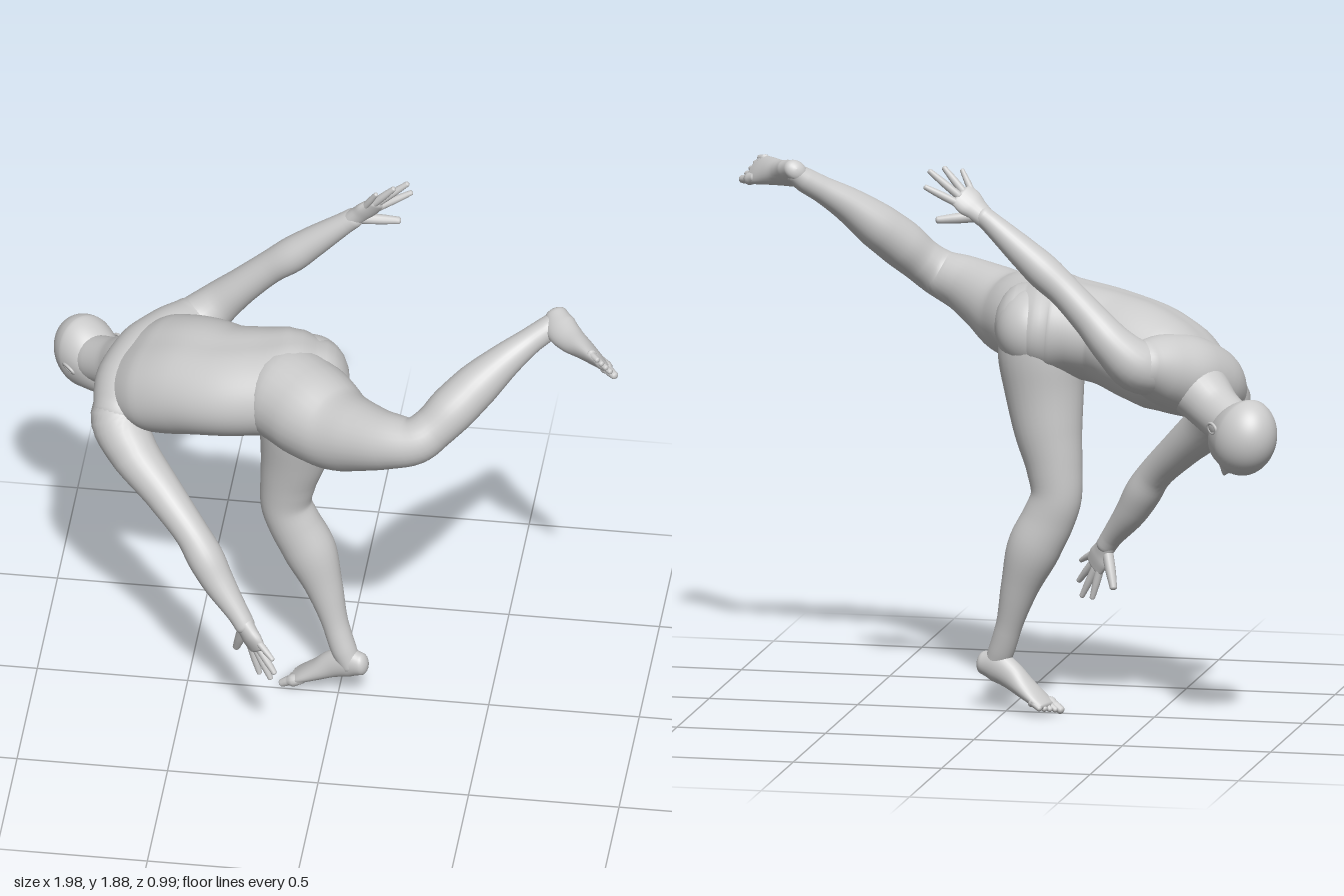
import * as THREE from 'three';
import { mergeVertices } from 'three/addons/utils/BufferGeometryUtils.js';

const V = (a) => new THREE.Vector3(a[0], a[1], a[2]);
const material = new THREE.MeshStandardMaterial({ color: 0xcccccc });
const bump = (d, w) => Math.exp(-(d * d) / (w * w));

function addMesh(parent, name, geometry) {
  const mesh = new THREE.Mesh(geometry, material);
  mesh.name = name;
  parent.add(mesh);
  return mesh;
}

// Smooth tube through rows of [x, y, z, halfWidth, halfDepth], with rounded ends.
// Half widths lie along the side vector, which may turn from side to sideEnd.
function loft(rows, side, { sideEnd = side, steps = 5, n = 28, cap = 0.7, shape = () => 1 } = {}) {
  const path = new THREE.CatmullRomCurve3(rows.map(V));
  const radii = new THREE.CatmullRomCurve3(rows.map((r) => V([r[3], r[4] ?? r[3], 0])));
  const rings = [];
  const ring = (t, k, push) => {
    const T = path.getTangent(t);
    const c = path.getPoint(t);
    const r = radii.getPoint(t);
    const S = V(side).lerp(V(sideEnd), t);
    S.addScaledVector(T, -S.dot(T)).normalize();
    c.addScaledVector(T, push * Math.min(r.x, r.y) * cap);
    rings.push({ c, S, B: T.clone().cross(S), a: r.x * k, b: r.y * k, t });
  };
  const arc = [0, 1, 2, 3, 4, 5].map((i) => (i / 5) * Math.PI / 2);
  for (const q of [...arc].reverse()) ring(0, Math.cos(q), -Math.sin(q));
  const total = (rows.length - 1) * steps;
  for (let i = 1; i < total; i++) ring(i / total, 1, 0);
  for (const q of arc) ring(1, Math.cos(q), Math.sin(q));
  const pos = [], index = [];
  rings.forEach((g, i) => {
    for (let j = 0; j < n; j++) {
      const q = (j / n) * Math.PI * 2, m = shape(g.t, q);
      const p = g.c.clone().addScaledVector(g.S, g.a * m * Math.cos(q)).addScaledVector(g.B, g.b * m * Math.sin(q));
      pos.push(p.x, p.y, p.z);
      if (i + 1 < rings.length) {
        const k = (j + 1) % n, A = i * n, D = A + n;
        index.push(A + j, A + k, D + k, A + j, D + k, D + j);
      }
    }
  });
  const geo = new THREE.BufferGeometry();
  geo.setAttribute('position', new THREE.Float32BufferAttribute(pos, 3));
  geo.setIndex(index);
  geo.computeVertexNormals();
  return geo;
}

// Group whose local y is up and z is forward; local x is then the left side.
function frame(name, origin, up, forward) {
  const Y = V(up).normalize(), Z = V(forward);
  Z.addScaledVector(Y, -Z.dot(Y)).normalize();
  const group = new THREE.Group();
  group.name = name;
  group.applyMatrix4(new THREE.Matrix4().makeBasis(Y.clone().cross(Z), Y, Z).setPosition(...origin));
  return group;
}

function makeHead() {
  const head = frame('head', [-0.885, 1.025, -0.385], [-0.62, -0.2, -0.75], [0.3, -0.93, 0.1]);
  // Skull and face: a sphere narrowed to the jaw, with sockets, nose, lips and chin
  let geo = new THREE.SphereGeometry(1, 72, 60);
  geo.deleteAttribute('uv');
  geo.deleteAttribute('normal');
  geo = mergeVertices(geo);
  const p = geo.attributes.position;
  for (let i = 0; i < p.count; i++) {
    const x = p.getX(i), y = p.getY(i), z = p.getZ(i);
    const t = Math.max(0, -y);
    const X = x * 0.105 * (1 - 0.2 * t);
    const Y = y * (y > 0 ? 0.12 : 0.165);
    let Z = z * 0.13 * (z < 0 ? 1 - 0.4 * t : 1) + 0.055 * t * t;
    if (z > 0) {
      Z += 0.03 * bump(X, 0.017) * (bump(Y + 0.062, 0.017) + 0.4 * bump(Y + 0.035, 0.025));
      Z -= 0.013 * bump(Math.abs(X) - 0.038, 0.02) * bump(Y + 0.028, 0.016);
      Z += 0.009 * bump(X, 0.03) * bump(Y + 0.098, 0.012) + 0.01 * bump(X, 0.03) * bump(Y + 0.138, 0.02);
    }
    p.setXYZ(i, X, Y, Z);
  }
  geo.computeVertexNormals();
  addMesh(head, 'skullAndFace', geo);
  // Ears: a rim and a shallow shell
  for (const s of [-1, 1]) {
    const ear = new THREE.Group();
    ear.name = s > 0 ? 'leftEar' : 'rightEar';
    ear.position.set(s * 0.101, -0.042, -0.004);
    ear.rotation.set(-0.15, s * (Math.PI / 2 - 0.3), 0);
    addMesh(ear, 'earRim', new THREE.TorusGeometry(0.017, 0.005, 10, 28)).scale.y = 1.5;
    addMesh(ear, 'earShell', new THREE.SphereGeometry(0.017, 20, 12)).scale.set(1, 1.45, 0.25);
    head.add(ear);
  }
  return head;
}

// Palm, four fingers from index to little, and thumb
function makeHand(name, wrist, tips, thumbTip) {
  const hand = new THREE.Group();
  hand.name = name;
  const W = V(wrist), T = tips.map(V);
  const mean = T.reduce((s, t) => s.add(t), new THREE.Vector3()).multiplyScalar(0.25);
  const side = T[0].clone().sub(T[3]).toArray();
  const at = (k) => W.clone().lerp(mean, k).toArray();
  addMesh(hand, 'palm', loft([
    [...at(-0.05), 0.035, 0.03], [...at(0.15), 0.041, 0.026],
    [...at(0.32), 0.05, 0.023], [...at(0.5), 0.048, 0.017]], side, { n: 20 }));
  const digit = (label, from, to, r) => {
    const mid = from.clone().lerp(to, 0.5);
    addMesh(hand, label, loft([[...from.toArray(), r], [...mid.toArray(), r * 0.92], [...to.toArray(), r * 0.65]], side, { n: 12 }));
  };
  T.forEach((t, i) => digit(['index', 'middle', 'ring', 'little'][i] + 'Finger', W.clone().lerp(t, 0.45), t, i === 3 ? 0.012 : 0.014));
  digit('thumb', W.clone().lerp(V(thumbTip), 0.15), V(thumbTip), 0.019);
  return hand;
}

// Foot with its origin under the heel; s = 1 for left, -1 for right
function makeFoot(name, heel, up, forward, s) {
  const foot = frame(name, heel, up, forward);
  addMesh(foot, 'footBody', loft([
    [0, 0.042, 0.022, 0.033, 0.04], [0, 0.054, 0.07, 0.038, 0.054], [0, 0.05, 0.13, 0.04, 0.047],
    [0, 0.036, 0.19, 0.048, 0.035], [0, 0.024, 0.25, 0.054, 0.024], [0, 0.018, 0.287, 0.05, 0.016]], [1, 0, 0]));
  for (let i = 0; i < 5; i++) {
    const x = s * (-0.038 + i * 0.02), r = i ? 0.0115 : 0.016, end = 0.325 - i * 0.009;
    addMesh(foot, 'toe', loft([[x * 0.9, 0.018, 0.25, r], [x, 0.018, end - 0.03, r], [x * 1.05, 0.013, end, r * 0.85]], [1, 0, 0], { n: 12 }));
  }
  return foot;
}

export function createModel() {
  const model = new THREE.Group();
  model.name = 'balancingFigure';

  // Torso from pelvis to shoulders, twisted along its length, with spine groove and chest
  addMesh(model, 'torso', loft([
    [-0.05, 1.295, 0.025, 0.155, 0.13], [-0.1, 1.29, 0.03, 0.188, 0.16], [-0.16, 1.285, 0.038, 0.2, 0.173],
    [-0.25, 1.277, 0.035, 0.203, 0.163], [-0.36, 1.257, 0.02, 0.207, 0.162], [-0.48, 1.226, -0.035, 0.217, 0.168],
    [-0.58, 1.188, -0.085, 0.217, 0.16], [-0.66, 1.155, -0.13, 0.19, 0.13], [-0.71, 1.135, -0.165, 0.14, 0.09]], [0, 0.15, 0.95], {
    sideEnd: [-0.4, -0.38, 0.85], n: 56,
    shape: (t, q) => 1 - 0.045 * bump(q - Math.PI / 2, 0.22) * bump(t - 0.5, 0.5)
      - 0.04 * bump(q - Math.PI * 1.5, 0.2) * bump(t - 0.65, 0.35)
      + 0.04 * bump(Math.abs(q - Math.PI * 1.5) - 0.6, 0.4) * bump(t - 0.74, 0.13)
      + 0.03 * bump(Math.abs(q - Math.PI / 2) - 0.65, 0.35) * bump(t - 0.76, 0.16),
  }));
  // Shoulder girdle running from the left to the right shoulder
  addMesh(model, 'shoulders', loft([
    [-0.728, 1.08, 0.01, 0.09, 0.088], [-0.7, 1.135, -0.07, 0.122, 0.122], [-0.64, 1.18, -0.16, 0.135, 0.132],
    [-0.575, 1.215, -0.25, 0.112, 0.115], [-0.525, 1.235, -0.315, 0.088, 0.085]], [-0.9, 0.1, -0.35], { n: 40 }));
  // Buttock over the standing leg
  const glute = addMesh(model, 'rightGlute', new THREE.SphereGeometry(0.125, 40, 30));
  glute.position.set(-0.095, 1.28, -0.01);
  glute.scale.set(1, 1.1, 1.12);

  // Neck and head
  addMesh(model, 'neck', loft([
    [-0.64, 1.17, -0.15, 0.13, 0.11], [-0.71, 1.125, -0.21, 0.1, 0.096],
    [-0.77, 1.08, -0.262, 0.08, 0.086], [-0.85, 1.04, -0.33, 0.075, 0.08]], [-0.72, -0.16, 0.64]));
  model.add(makeHead());

  // Arms
  addMesh(model, 'leftArm', loft([
    [-0.685, 1.14, -0.05, 0.09], [-0.727, 1.068, 0.005, 0.095], [-0.68, 0.985, 0.068, 0.084], [-0.563, 0.873, 0.148, 0.066],
    [-0.455, 0.765, 0.222, 0.057], [-0.41, 0.7, 0.25, 0.061], [-0.36, 0.62, 0.28, 0.053],
    [-0.285, 0.525, 0.325, 0.036], [-0.265, 0.495, 0.337, 0.034]], [0, 0, 1]));
  addMesh(model, 'rightArm', loft([
    [-0.58, 1.21, -0.25, 0.09], [-0.51, 1.235, -0.32, 0.088], [-0.44, 1.3, -0.345, 0.072], [-0.36, 1.385, -0.338, 0.06],
    [-0.27, 1.475, -0.328, 0.055], [-0.2, 1.535, -0.322, 0.059], [-0.12, 1.605, -0.32, 0.051],
    [-0.015, 1.695, -0.315, 0.036], [0.01, 1.715, -0.315, 0.034]], [0, 0, 1]));
  model.add(makeHand('leftHand', [-0.265, 0.495, 0.337],
    [[-0.215, 0.315, 0.35], [-0.175, 0.315, 0.375], [-0.158, 0.36, 0.405], [-0.162, 0.425, 0.42]], [-0.3, 0.365, 0.285]));
  model.add(makeHand('rightHand', [0.01, 1.715, -0.315],
    [[0.195, 1.81, -0.35], [0.185, 1.86, -0.33], [0.145, 1.865, -0.29], [0.09, 1.855, -0.265]], [0.155, 1.7, -0.34]));

  // Standing right leg
  addMesh(model, 'rightLeg', loft([
    [-0.115, 1.3, -0.005, 0.13, 0.13], [-0.122, 1.2, -0.008, 0.13, 0.145], [-0.132, 1.08, -0.012, 0.117, 0.132],
    [-0.148, 0.95, -0.025, 0.1, 0.114], [-0.17, 0.83, -0.035, 0.084, 0.094], [-0.178, 0.73, -0.04, 0.075, 0.085],
    [-0.15, 0.65, -0.038, 0.075, 0.088], [-0.105, 0.56, -0.035, 0.078, 0.09], [-0.052, 0.42, -0.02, 0.06, 0.064],
    [-0.01, 0.28, 0, 0.043, 0.044], [0.02, 0.19, 0.017, 0.04, 0.043], [0.045, 0.135, 0.028, 0.033, 0.037]], [0, 0, 1]));
  model.add(makeFoot('rightFoot', [0.115, 0.115, 0.045], [-0.36, 0.93, -0.09], [-0.3, -0.145, -0.1], -1));

  // Raised left leg
  addMesh(model, 'leftLeg', loft([
    [-0.24, 1.275, 0.05, 0.13], [-0.15, 1.285, 0.105, 0.165], [-0.06, 1.28, 0.18, 0.163], [0.03, 1.278, 0.26, 0.142],
    [0.12, 1.308, 0.33, 0.118], [0.22, 1.342, 0.39, 0.095], [0.31, 1.37, 0.415, 0.079], [0.37, 1.415, 0.395, 0.074],
    [0.43, 1.475, 0.36, 0.08], [0.5, 1.54, 0.315, 0.076], [0.59, 1.618, 0.265, 0.058], [0.67, 1.675, 0.22, 0.044],
    [0.72, 1.708, 0.195, 0.041], [0.75, 1.733, 0.178, 0.034]], [0, 1, 0]));
  model.add(makeFoot('leftFoot', [0.762, 1.775, 0.135], [-0.69, -0.62, 0.38], [0.74, -0.07, 0.65], 1));

  return model;
}
